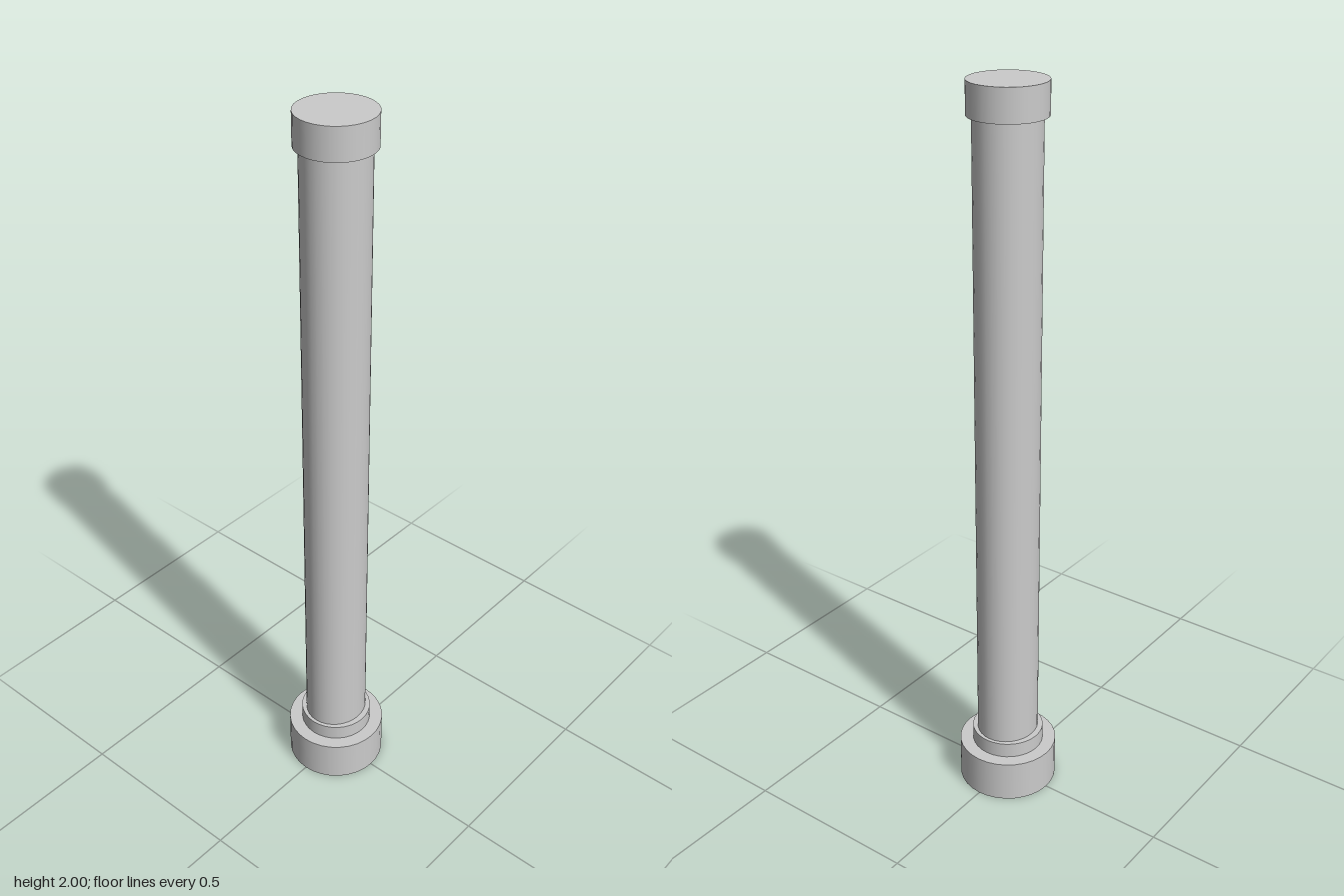
import * as THREE from 'three';

export function createModel() {
  const group = new THREE.Group();
  const material = new THREE.MeshStandardMaterial({ color: 0xcccccc });

  // Upright cylinder between two heights, with separate x and z radii
  function drum(name, y0, y1, rx, rz = rx) {
    const geometry = new THREE.CylinderGeometry(1, 1, y1 - y0, 32);
    geometry.scale(rx, 1, rz);
    const mesh = new THREE.Mesh(geometry, material);
    mesh.name = name;
    mesh.position.y = (y0 + y1) / 2;
    group.add(mesh);
  }

  drum('base', 0, 0.12, 0.1375);
  drum('lowerCollar', 0.12, 0.164, 0.1005);
  // Shaft is slightly flattened front to back
  drum('shaft', 0.164, 1.916, 0.091, 0.084);
  drum('capital', 1.916, 2, 0.1005);

  return group;
}
